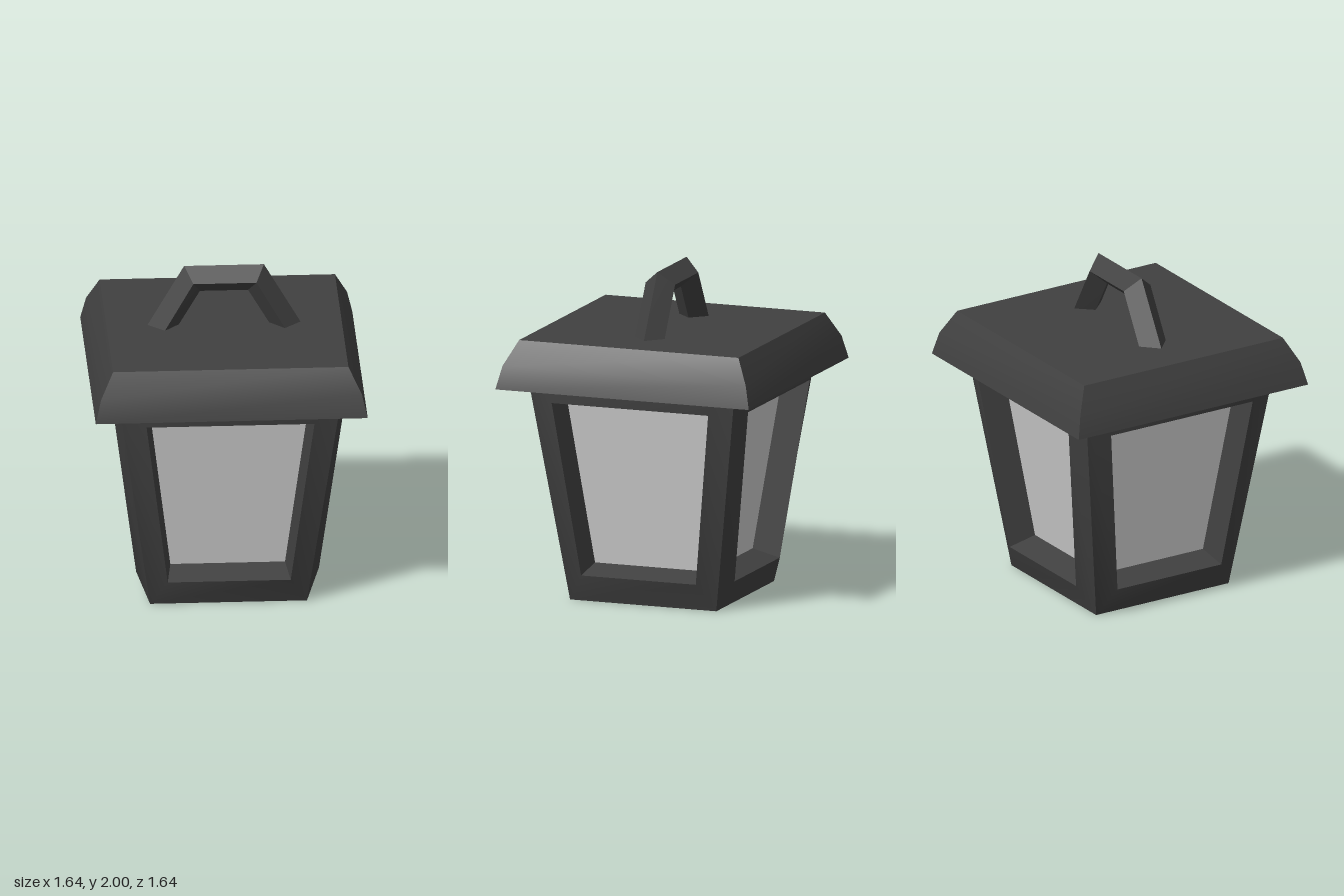
import * as THREE from 'three';
import { toCreasedNormals } from 'three/addons/utils/BufferGeometryUtils.js';

const metal = new THREE.MeshStandardMaterial({ color: 0x404040 });
const pane = new THREE.MeshStandardMaterial({ color: 0xcccccc, side: THREE.DoubleSide });

// Skin a series of four-point rings, optionally closing the first and last ring
function skin(rings, capStart, capEnd) {
  const pos = [];
  const quad = (a, b, c, d) => pos.push(...a, ...b, ...c, ...a, ...c, ...d);
  for (let r = 0; r < rings.length - 1; r++) {
    const A = rings[r], B = rings[r + 1];
    for (let i = 0; i < 4; i++) {
      const j = (i + 1) % 4;
      quad(A[i], A[j], B[j], B[i]);
    }
  }
  if (capStart) quad(...[...rings[0]].reverse());
  if (capEnd) quad(...rings[rings.length - 1]);
  const g = new THREE.BufferGeometry();
  g.setAttribute('position', new THREE.Float32BufferAttribute(pos, 3));
  return toCreasedNormals(g, 0.5);
}

function part(name, geometry, material) {
  const m = new THREE.Mesh(geometry, material);
  m.name = name;
  return m;
}

// Upright trapezoid facing +z, given as half width, height and depth of both edges
const trapezoid = (wb, yb, zb, wt, yt, zt) =>
  [[-wb, yb, zb], [wb, yb, zb], [wt, yt, zt], [-wt, yt, zt]];

// Level square of half width h
const square = (h, y) => [[-h, y, h], [h, y, h], [h, y, -h], [-h, y, -h]];

export function createModel() {
  const lantern = new THREE.Group();
  lantern.name = 'lantern';

  // Four tapered walls: outer edge, raised window rim, recessed glass edge
  const outer = trapezoid(0.472, 0, 0.472, 0.69, 1.55, 0.69);
  const rim = trapezoid(0.37, 0.17, 0.55, 0.505, 1.245, 0.69);
  const glass = trapezoid(0.345, 0.22, 0.385, 0.47, 1.225, 0.52);
  const frameGeo = skin([outer, rim, glass], false, false);
  const glassGeo = skin([glass], false, true);
  for (let i = 0; i < 4; i++) {
    const wall = new THREE.Group();
    wall.name = 'wall';
    wall.rotation.y = i * Math.PI / 2;
    wall.add(part('windowFrame', frameGeo, metal), part('windowPane', glassGeo, pane));
    lantern.add(wall);
  }

  // Floor closing the body
  lantern.add(part('floor', skin([square(0.472, 0)], true, false), metal));

  // Flared roof with a flat top
  const roof = [[0.818, 1.33], [0.785, 1.47], [0.708, 1.62]].map(([h, y]) => square(h, y));
  lantern.add(part('roof', skin(roof, true, true), metal));

  // Carrying handle: diamond section bent over three straight runs
  const station = (s, o, m, n) =>
    [[s * o[0], o[1], 0], [s * m[0], m[1], 0.095], [s * n[0], n[1], 0], [s * m[0], m[1], -0.095]];
  const foot = [[0.472, 1.6], [0.372, 1.6], [0.283, 1.6]];
  const bend = [[0.24, 2], [0.19, 1.92], [0.145, 1.835]];
  const handle = [station(-1, ...foot), station(-1, ...bend), station(1, ...bend), station(1, ...foot)];
  lantern.add(part('handle', skin(handle, true, true), metal));

  return lantern;
}
